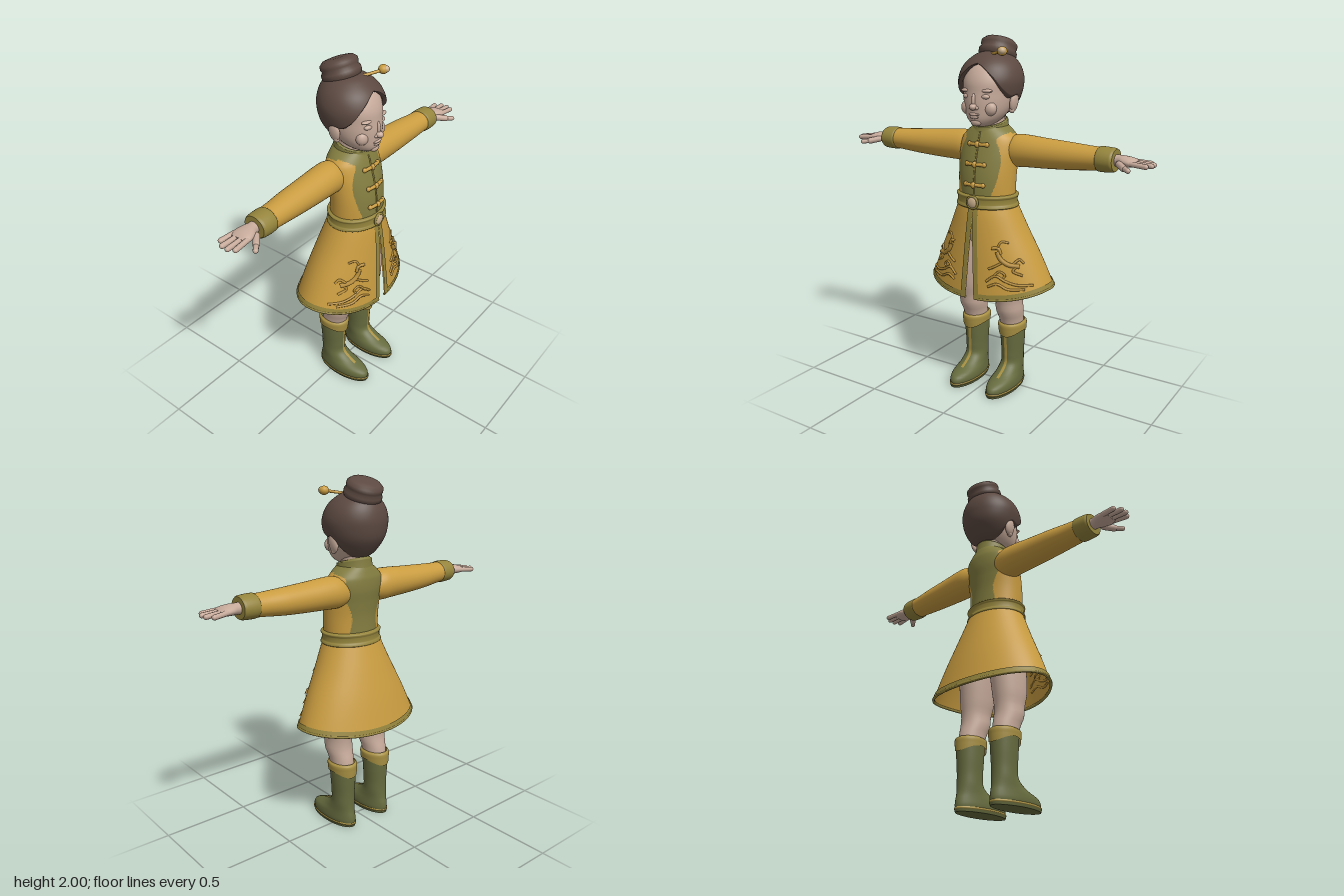
import * as THREE from 'three';

const mat = (name, color, side = THREE.FrontSide) => {
  const m = new THREE.MeshStandardMaterial({ color, side });
  m.name = name;
  return m;
};

// Row format: [y, half width, front z, back z, centre x]; smooth interpolation at height y
function rowAt(rows, y) {
  let i = 0;
  while (i < rows.length - 2 && y > rows[i + 1][0]) i++;
  const a = rows[i], b = rows[i + 1], p = rows[Math.max(i - 1, 0)], q = rows[Math.min(i + 2, rows.length - 1)];
  const h = b[0] - a[0], u = THREE.MathUtils.clamp((y - a[0]) / h, 0, 1), u2 = u * u, u3 = u2 * u;
  return [1, 2, 3, 4].map(k => {
    const [A, B, P, Q] = [a, b, p, q].map(r => r[k] ?? 0);
    const ma = (B - P) / (b[0] - p[0]) * h, mb = (Q - A) / (q[0] - a[0]) * h;
    return (2 * u3 - 3 * u2 + 1) * A + (u3 - 2 * u2 + u) * ma + (3 * u2 - 2 * u3) * B + (u3 - u2) * mb;
  });
}

// Front z of the elliptical row at height y, at sideways position x
function frontZ(rows, x, y) {
  const [rx, f, b] = rowAt(rows, y);
  return (f + b) / 2 + (f - b) / 2 * Math.sqrt(Math.max(0, 1 - (x / rx) ** 2));
}

// Lofted skin through elliptical rows; angle t starts at the front (+z) and turns towards +x
function loft(rows, o = {}) {
  const { n = 40, m = 24, t0 = 0, t1 = Math.PI * 2, off = 0, cap = false, warp = t => t, inset = () => 1 } = o;
  const low = o.y0 ?? (() => rows[0][0]), high = o.y1 ?? (() => rows[rows.length - 1][0]);
  const closed = t1 - t0 > 6.28 && !o.warp, w = closed ? n : n + 1, pos = [], idx = [];
  for (let i = 0; i <= m; i++) for (let j = 0; j < w; j++) {
    const t = t0 + (t1 - t0) * j / n, y = THREE.MathUtils.lerp(low(t), high(t), i / m);
    const [rx, f, b, cx] = rowAt(rows, y), a = warp(t, y), s = inset(i / m);
    pos.push(cx + (rx + off) * s * Math.sin(a), y, (f + b) / 2 + ((f - b) / 2 + off) * s * Math.cos(a));
  }
  for (let i = 0; i < m; i++) for (let j = 0; j < n; j++) {
    const k = (j + 1) % w, a = i * w + j, b = i * w + k, c = a + w, d = b + w;
    idx.push(a, b, d, a, d, c);
  }
  if (cap) for (const i of [0, m]) {
    const y = i ? high(0) : low(0), [, f, b, cx] = rowAt(rows, y), base = pos.length / 3;
    pos.push(...pos.slice(i * w * 3, (i + 1) * w * 3), cx, y, (f + b) / 2);
    for (let j = 0; j < n; j++) {
      const p = base + j, q = base + (j + 1) % w;
      idx.push(...(i ? [p, q] : [q, p]), base + w);
    }
  }
  const g = new THREE.BufferGeometry();
  g.setAttribute('position', new THREE.Float32BufferAttribute(pos, 3));
  g.setIndex(idx);
  g.computeVertexNormals();
  return g;
}

// Sorts faces into two material groups by a test on the face centre
function twoTone(g, test) {
  const p = g.attributes.position, src = g.index.array, sets = [[], []];
  for (let i = 0; i < src.length; i += 3) {
    const f = [src[i], src[i + 1], src[i + 2]], mid = k => f.reduce((s, v) => s + p.getComponent(v, k), 0) / 3;
    sets[test(mid(0), mid(1), mid(2)) ? 1 : 0].push(...f);
  }
  g.setIndex([...sets[0], ...sets[1]]);
  g.addGroup(0, sets[0].length, 0);
  g.addGroup(sets[0].length, sets[1].length, 1);
  return g;
}

export function createModel() {
  const model = new THREE.Group();
  const DS = THREE.DoubleSide;
  const gold = mat('gold cloth', 0xc99c40, DS), olive = mat('olive cloth', 0x837d40, DS), trim = mat('trim', 0x94843c, DS);
  const skin = mat('skin', 0xc6aa9a), hair = mat('hair', 0x5c4941, DS), boot = mat('boot leather', 0x666b3e);
  const cuffGold = mat('boot trim', 0xa78f42, DS), stitch = mat('embroidery', 0xb48b38), pale = mat('pale ornament', 0xcbb08c);

  const add = (name, geo, m, parent = model) => {
    const mesh = new THREE.Mesh(geo, m);
    mesh.name = name;
    parent.add(mesh);
    return mesh;
  };
  const ball = (name, p, s, m, parent) => {
    const b = add(name, new THREE.SphereGeometry(1, 24, 16), m, parent);
    b.position.set(...p);
    b.scale.set(...s);
    return b;
  };
  const rod = (name, a, b, r, m, parent) => {
    const A = new THREE.Vector3(...a), d = new THREE.Vector3(...b).sub(A);
    const c = add(name, new THREE.CapsuleGeometry(r, d.length(), 6, 12), m, parent);
    c.position.copy(A).addScaledVector(d, 0.5);
    c.quaternion.setFromUnitVectors(new THREE.Vector3(0, 1, 0), d.normalize());
  };
  const tube = (name, pts, steps, r, m, parent) =>
    add(name, new THREE.TubeGeometry(new THREE.CatmullRomCurve3(pts), steps, r, 8), m, parent);
  const pair = (name, build) => {
    for (const s of [1, -1]) {
      const g = new THREE.Group();
      g.name = (s > 0 ? 'left ' : 'right ') + name;
      g.scale.x = s;
      build(g);
      model.add(g);
    }
  };

  // Bodice with olive front and back panels
  const torso = [[1.08, .163, .185, -.085], [1.16, .165, .19, -.08], [1.25, .168, .187, -.08], [1.33, .172, .175, -.088],
    [1.4, .175, .158, -.098], [1.46, .165, .14, -.098], [1.495, .135, .128, -.09], [1.53, .09, .115, -.08]];
  // Panel rows: [y, front half width, back half width]
  const panel = [[1.14, .085, .1], [1.25, .12, .085], [1.36, .13, .125], [1.42, .115, .14], [1.47, .1, .125], [1.53, .2, .2]];
  add('bodice', twoTone(loft(torso, { n: 160, m: 80 }), (x, y, z) => {
    const [f, b] = rowAt(panel, y);
    return Math.abs(x) < (z > 0.03 ? f : b);
  }), [gold, olive]);
  add('collar', loft([[1.47, .118, .138, -.09], [1.51, .1, .125, -.084], [1.545, .094, .122, -.08], [1.58, .092, .118, -.078]],
    { y1: t => 1.555 - .025 * Math.cos(t), inset: u => u > .95 ? .9 : 1 }), olive);
  add('neck', loft([[1.46, .075, .09, -.06], [1.6, .075, .1, -.065]]), skin);
  for (const y of [1.435, 1.33, 1.22]) {
    tube('frog fastener', [-.055, -.025, 0, .025, .055].map(x => new THREE.Vector3(x, y, frontZ(torso, x, y) + .006)), 16, .01, gold);
    ball('fastener knot', [0, y, frontZ(torso, 0, y) + .01], [.014, .018, .012], gold);
    for (const s of [-1, 1]) ball('fastener end', [s * .055, y, frontZ(torso, .055, y) + .005], [.013, .014, .011], gold);
  }
  tube('front closing', [1.17, 1.25, 1.33, 1.42, 1.5].map(y => new THREE.Vector3(0, y, frontZ(torso, 0, y))), 24, .005, trim);

  // Belt and buckle
  add('belt', loft([[1.085, .165, .19, -.085], [1.092, .182, .205, -.1], [1.105, .18, .203, -.098], [1.112, .175, .2, -.093],
    [1.14, .175, .2, -.093], [1.147, .18, .203, -.096], [1.157, .18, .203, -.096], [1.165, .16, .185, -.08]], { m: 36 }), trim);
  ball('buckle', [0, 1.125, .203], [.034, .034, .016], pale);
  add('buckle rim', new THREE.TorusGeometry(.033, .007, 8, 24), trim).position.set(0, 1.125, .206);

  // Coat skirt, open at the front, with trimmed edges
  const skirt = [[.57, .405, .24, -.247], [.65, .378, .235, -.228], [.8, .313, .225, -.19], [.95, .24, .213, -.145],
    [1.05, .195, .202, -.112], [1.12, .165, .188, -.088]];
  const hem = t => .648 - .058 * Math.max(0, Math.cos(t)) ** 2 - .028 * Math.max(0, -Math.cos(t)) ** 2;
  const gap = y => Math.max(.001, .028 * (1.06 - y) / .46) / rowAt(skirt, y)[0];
  const open = (t, y) => gap(y) + t * (1 - gap(y) / Math.PI);
  add('skirt', loft(skirt, { n: 96, m: 32, y0: hem, warp: open }), gold);
  add('hem trim', loft(skirt, { n: 96, m: 6, off: .006, y0: t => hem(t) - .004, y1: t => hem(t) + .03, warp: open }), trim);
  tube('hem roll', Array.from({ length: 61 }, (_, i) => {
    const t = i / 60 * Math.PI * 2, y = hem(t), [rx, f, b] = rowAt(skirt, y), a = open(t, y);
    return new THREE.Vector3(rx * Math.sin(a), y, (f + b) / 2 + (f - b) / 2 * Math.cos(a));
  }), 120, .008, trim);
  for (const s of [1, -1]) add('slit trim', loft(skirt, {
    n: 4, m: 24, off: .007, t0: s > 0 ? 0 : -1, t1: s > 0 ? 1 : 0, y0: () => .588, y1: () => 1.1,
    warp: (t, y) => s * gap(y) + t * .03 / rowAt(skirt, y)[0]
  }), trim);

  // Raised embroidery, leaping animal above waves: [radius, ...points in x and y]
  const strokes = [[.013, [.15, .87], [.17, .83], [.21, .8], [.26, .79]], [.009, [.12, .885], [.155, .885], [.17, .855]],
    [.006, [.15, .89], [.165, .92], [.2, .915]], [.007, [.23, .8], [.255, .825], [.275, .805]], [.007, [.18, .81], [.14, .785], [.11, .77]],
    [.007, [.25, .79], [.235, .765], [.28, .74]], [.007, [.1, .7], [.15, .735], [.2, .71], [.26, .69], [.33, .685]],
    [.007, [.11, .67], [.16, .69], [.22, .665], [.3, .665]], [.006, [.13, .72], [.17, .76], [.2, .74], [.19, .725]]];
  pair('embroidery', g => strokes.forEach(([r, ...pts]) =>
    tube('stroke', pts.map(([x, y]) => new THREE.Vector3(x, y, frontZ(skirt, x, y) + .003)), 20, r, stitch, g)));

  // Sleeves and hands, lofted along x
  const along = g => g.rotateZ(-Math.PI / 2);
  pair('arm', g => {
    add('sleeve', along(loft([[.1, .07, .075, -.07, -1.39], [.16, .088, .088, -.085, -1.396], [.22, .087, .09, -.086, -1.398],
      [.35, .08, .088, -.078, -1.396], [.5, .071, .085, -.068, -1.396], [.6, .063, .084, -.055, -1.398], [.67, .059, .083, -.048, -1.4]],
      { m: 32, cap: true })), gold, g);
    add('cuff', along(loft([[.648, .055, .08, -.045, -1.4], [.655, .064, .09, -.052, -1.4], [.73, .062, .09, -.05, -1.4],
      [.742, .057, .082, -.044, -1.4]], { cap: true })), trim, g);
    add('palm', along(loft([[.7, .034, .05, -.018, -1.4], [.75, .03, .05, -.016, -1.4], [.79, .028, .07, -.03, -1.4],
      [.83, .023, .078, -.036, -1.398], [.855, .012, .07, -.028, -1.396]], { n: 28, cap: true })), skin, g);
    [[-.024, -.036, .905], [.006, -.001, .93], [.036, .036, .932], [.064, .07, .915]].forEach(([z0, z1, x]) =>
      rod('finger', [.83, 1.398, z0], [x, 1.392, z1], .0135, skin, g));
    rod('thumb', [.775, 1.39, .062], [.815, 1.38, .1], .018, skin, g);
    rod('thumb tip', [.815, 1.38, .1], [.848, 1.376, .128], .0135, skin, g);
  });

  // Hips, legs and boots
  add('hips', loft([[.84, .13, .1, -.07], [.9, .165, .14, -.09], [1.08, .15, .15, -.08]], { cap: true }), skin);
  const shaft = [[.012, .068, .228, -.112, .125], [.035, .073, .237, -.116, .125], [.065, .071, .215, -.112, .125],
    [.095, .065, .13, -.104, .125], [.14, .062, .062, -.099, .125], [.2, .062, .054, -.098, .125], [.28, .067, .058, -.102, .125],
    [.37, .071, .064, -.106, .125]];
  pair('leg', g => {
    add('bare leg', loft([[.34, .062, .055, -.095, .125], [.42, .067, .075, -.085, .125], [.475, .077, .1, -.07, .125],
      [.53, .075, .108, -.068, .125], [.6, .085, .126, -.076, .123], [.75, .09, .135, -.09, .115], [.95, .08, .12, -.08, .1]], { cap: true }), skin, g);
    add('boot', loft(shaft, { m: 40, cap: true }), boot, g);
    add('sole', loft([[0, .072, .236, -.114, .125], [.014, .076, .241, -.118, .125]], { m: 1, cap: true }), boot, g);
    add('sole piping', loft([[.012, .07, .232, -.113, .125], [.018, .077, .241, -.119, .125], [.026, .074, .237, -.116, .125]], { m: 6 }), cuffGold, g);
    add('boot stripe', loft(shaft, { n: 4, m: 24, t0: -.13, t1: .13, off: .004, y0: () => .09, y1: () => .35 }), cuffGold, g);
    add('boot cuff', loft([[.3, .072, .07, -.11, .125], [.36, .077, .078, -.113, .125], [.39, .077, .078, -.112, .125], [.4, .065, .065, -.1, .125]],
      { y0: t => .333 - .016 * Math.cos(2 * t) }), cuffGold, g);
  });

  // Head and face
  add('head', loft([[1.53, .035, .15, .03], [1.545, .062, .172, 0], [1.57, .09, .184, -.04], [1.61, .115, .188, -.08], [1.66, .13, .19, -.12],
    [1.71, .137, .186, -.14], [1.76, .142, .182, -.145], [1.81, .135, .162, -.14], [1.85, .11, .13, -.12], [1.89, .06, .07, -.08]], { cap: true }), skin);
  ball('nose', [0, 1.637, .192], [.021, .018, .025], skin);
  ball('nose bridge', [0, 1.668, .184], [.012, .04, .016], skin);
  ball('upper lip', [0, 1.597, .183], [.032, .008, .013], skin);
  ball('lower lip', [0, 1.583, .18], [.027, .009, .013], skin);
  ball('chin', [0, 1.555, .165], [.032, .022, .02], skin);
  pair('face side', g => {
    ball('nostril', [.016, 1.632, .184], [.013, .011, .015], skin, g);
    ball('eye', [.055, 1.69, .162], [.027, .014, .018], skin, g);
    ball('brow ridge', [.057, 1.72, .158], [.04, .011, .02], skin, g);
    ball('cheek', [.068, 1.628, .138], [.04, .04, .032], skin, g);
    ball('ear', [.146, 1.655, .02], [.018, .052, .034], skin, g).rotation.z = -.15;
    ball('ear lobe', [.138, 1.615, .028], [.014, .018, .018], skin, g);
  });

  // Swept hair with a centre parting (hairline: [angle, height]), bun and hairpin
  const edge = [[0, 1.855], [.25, 1.838], [.6, 1.785], [.95, 1.715], [1.25, 1.68], [1.6, 1.682], [1.9, 1.62], [2.3, 1.582], [3.2, 1.575]];
  const hairRows = [[1.57, .085, .15, -.068], [1.62, .128, .17, -.112], [1.68, .16, .188, -.15], [1.75, .177, .198, -.164], [1.8, .173, .187, -.162],
    [1.85, .15, .16, -.147], [1.89, .11, .115, -.12], [1.915, .065, .065, -.085], [1.925, .01, 0, -.02]];
  add('hair', loft(hairRows, {
    n: 96, m: 36, y0: t => rowAt(edge, Math.min(t, Math.PI * 2 - t))[0], inset: u => u < .02 ? .88 : u < .04 ? .96 : 1
  }), hair);
  const bunProfile = [[.06, -.075], [.09, -.055], [.104, -.03], [.104, -.01], [.094, .004], [.1, .018], [.098, .036], [.08, .052], [.045, .058], [0, .058]];
  const bun = add('bun', new THREE.LatheGeometry(bunProfile.map(p => new THREE.Vector2(...p)), 40), hair);
  bun.position.set(0, 1.925, -.055);
  bun.rotation.x = -.36;
  rod('hairpin', [.03, 1.905, .06], [.12, 1.92, .115], .008, gold);
  ball('hairpin bead', [.13, 1.922, .115], [.027, .024, .026], gold);
  ball('hairpin pearl', [.136, 1.924, .128], [.019, .018, .018], pale);

  return model;
}
